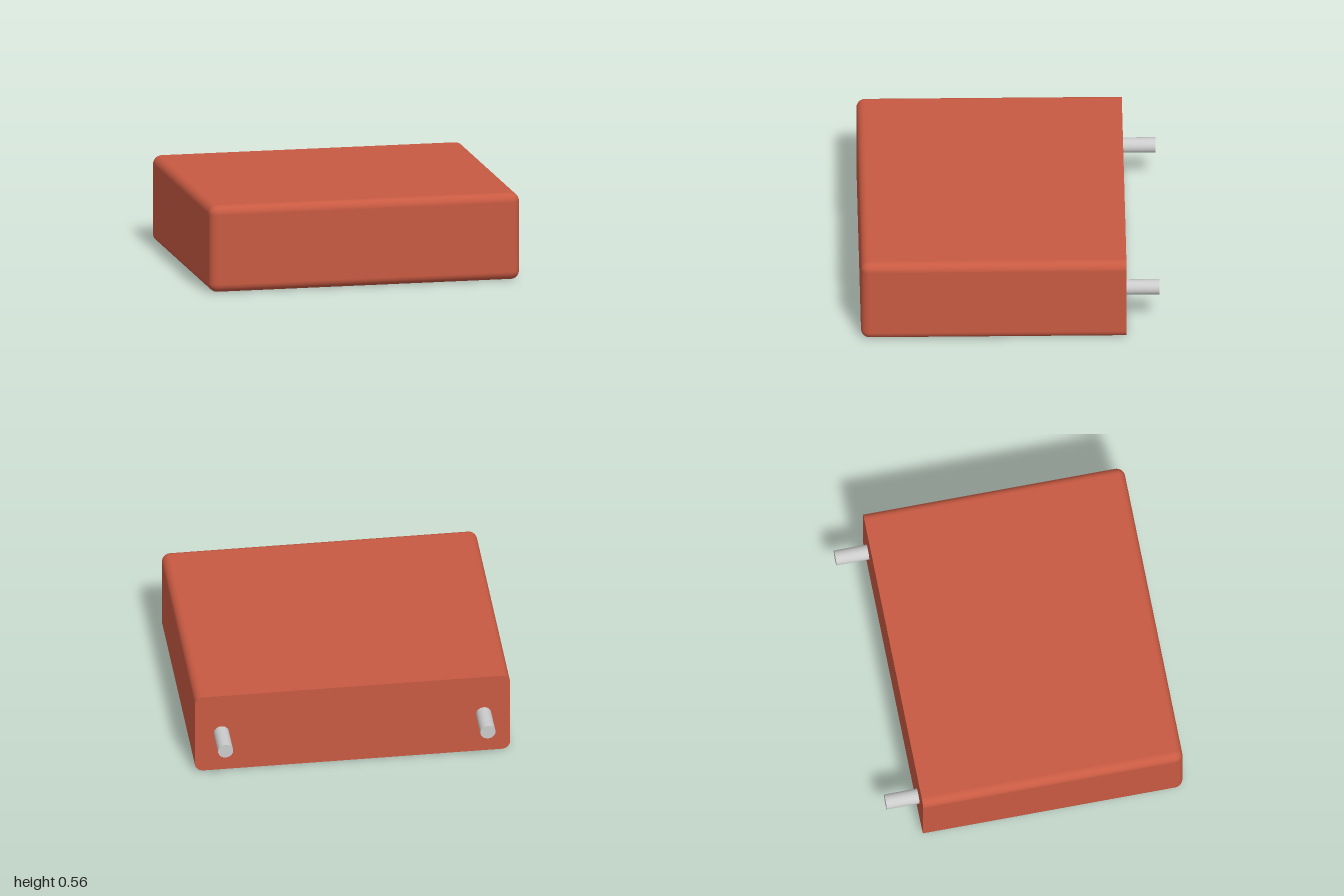
import * as THREE from 'three';
import { RoundedBoxGeometry } from 'three/addons/geometries/RoundedBoxGeometry.js';

const HEIGHT = 0.555, FRONT = 0.94, BACK = -0.73, RADIUS = 0.055;

// Rounded block whose back end is cut off flat with a sharp rim
function bodyGeometry() {
  const depth = FRONT - BACK + RADIUS;
  const geo = new RoundedBoxGeometry(2, HEIGHT, depth, 6, RADIUS);
  geo.translate(0, HEIGHT / 2, FRONT - depth / 2);
  const pos = geo.attributes.position, nor = geo.attributes.normal;
  for (let i = 0; i < pos.count; i += 3) {
    const corners = [i, i + 1, i + 2];
    const isBack = corners.every((k) => pos.getZ(k) < BACK + 1e-4);
    for (const k of corners) {
      pos.setZ(k, Math.max(pos.getZ(k), BACK));
      if (isBack) nor.setXYZ(k, 0, 0, -1);
    }
  }
  return geo;
}

export function createModel() {
  const model = new THREE.Group();
  model.name = 'block';

  const body = new THREE.Mesh(bodyGeometry(), new THREE.MeshStandardMaterial({ color: 0xc85a42 }));
  body.name = 'body';
  model.add(body);

  // Two pins standing out of the flat back
  const pinEnd = -0.94, embed = 0.04;
  const length = BACK + embed - pinEnd;
  const pinGeo = new THREE.CylinderGeometry(0.048, 0.048, length, 32).rotateX(Math.PI / 2);
  const pinMaterial = new THREE.MeshStandardMaterial({ color: 0xcccccc });
  for (const side of [-1, 1]) {
    const pin = new THREE.Mesh(pinGeo, pinMaterial);
    pin.name = side > 0 ? 'leftPin' : 'rightPin';
    pin.position.set(side * 0.832, HEIGHT / 2, pinEnd + length / 2);
    model.add(pin);
  }
  return model;
}
